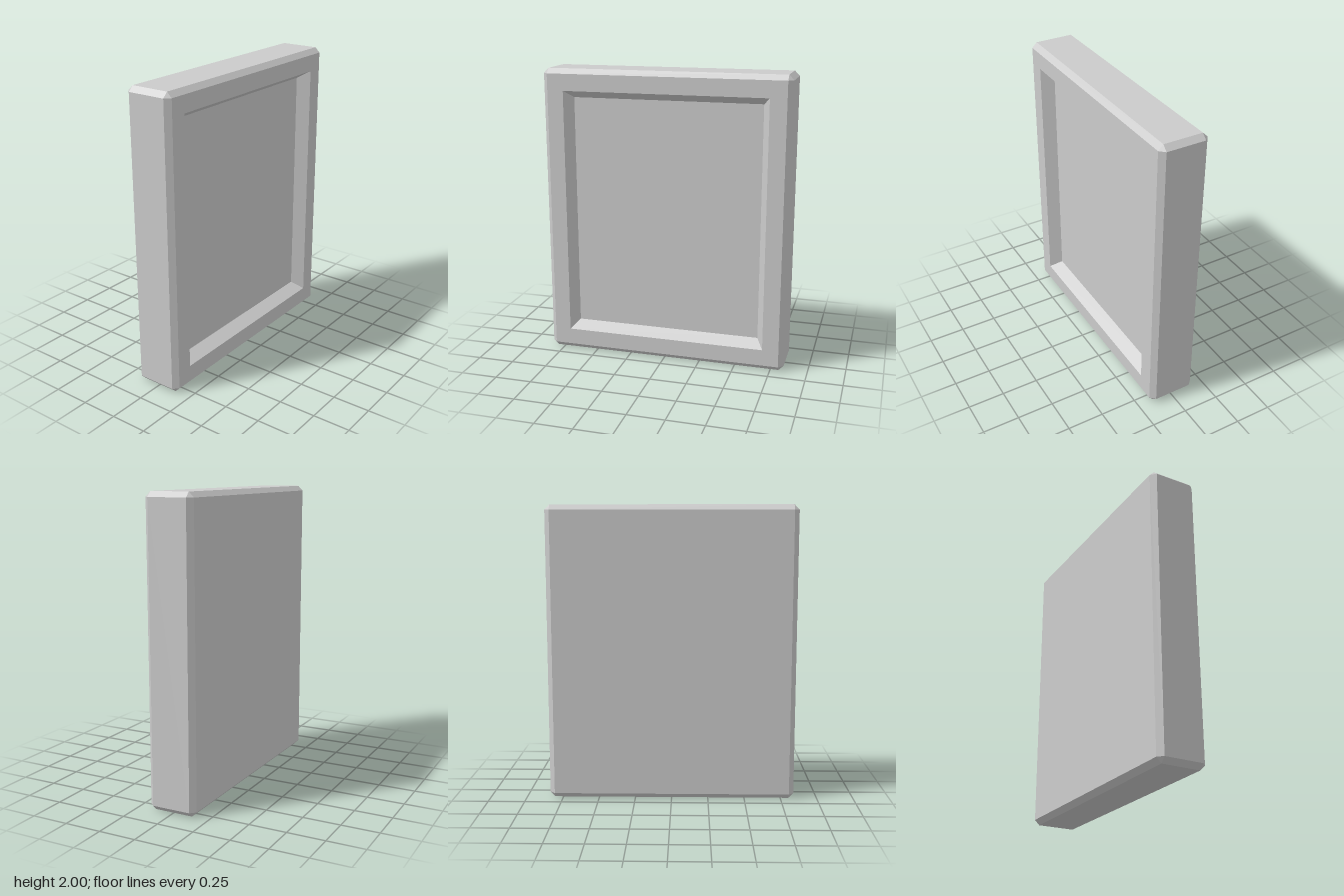
import * as THREE from 'three';

// Eight-point rectangle outline, counter-clockwise from the front; cut = 0 gives sharp corners
function ring(w, h, z, cut = 0) {
  return [
    [w, -h + cut], [w, h - cut], [w - cut, h], [-w + cut, h],
    [-w, h - cut], [-w, -h + cut], [-w + cut, -h], [w - cut, -h],
  ].map(([x, y]) => new THREE.Vector3(x, y + 1, z));
}

// Flat-shaded surface from triangles, dropping collapsed ones
function surface(name, triangles, material) {
  const points = triangles
    .filter(([a, b, c]) => new THREE.Triangle(a, b, c).getArea() > 1e-7)
    .flat();
  const geometry = new THREE.BufferGeometry().setFromPoints(points);
  geometry.computeVertexNormals();
  const mesh = new THREE.Mesh(geometry, material);
  mesh.name = name;
  return mesh;
}

// Band of quads between consecutive outlines
function loft(rings) {
  const triangles = [];
  for (let r = 0; r < rings.length - 1; r++) {
    const a = rings[r], b = rings[r + 1];
    for (let i = 0; i < a.length; i++) {
      const j = (i + 1) % a.length;
      triangles.push([a[i], a[j], b[j]], [a[i], b[j], b[i]]);
    }
  }
  return triangles;
}

// Flat fill of an outline
function cap(outline) {
  const triangles = [];
  for (let i = 1; i < outline.length - 1; i++) triangles.push([outline[0], outline[i], outline[i + 1]]);
  return triangles;
}

export function createModel() {
  const group = new THREE.Group();
  const material = new THREE.MeshStandardMaterial({ color: 0xcccccc, flatShading: true });
  const W = 0.84, H = 1, D = 0.166, bevel = 0.034;

  const back = ring(W - bevel, H - bevel, -D);
  const rim = ring(W - bevel, H - bevel, D);
  const opening = ring(0.695, 0.853, D);
  const floor = ring(0.647, 0.803, D / 2);

  // Bevelled outer shell, from the back edge round to the front rim
  group.add(surface('outerFrame', loft([
    back, ring(W, H, -D + bevel, bevel), ring(W, H, D - bevel, bevel), rim, opening,
  ]), material));

  // Sloping walls of the recess
  group.add(surface('recessWalls', loft([opening, floor]), material));

  // Sunken front panel
  group.add(surface('frontPanel', cap(floor), material));

  // Flat back
  group.add(surface('backPanel', cap([...back].reverse()), material));

  return group;
}
